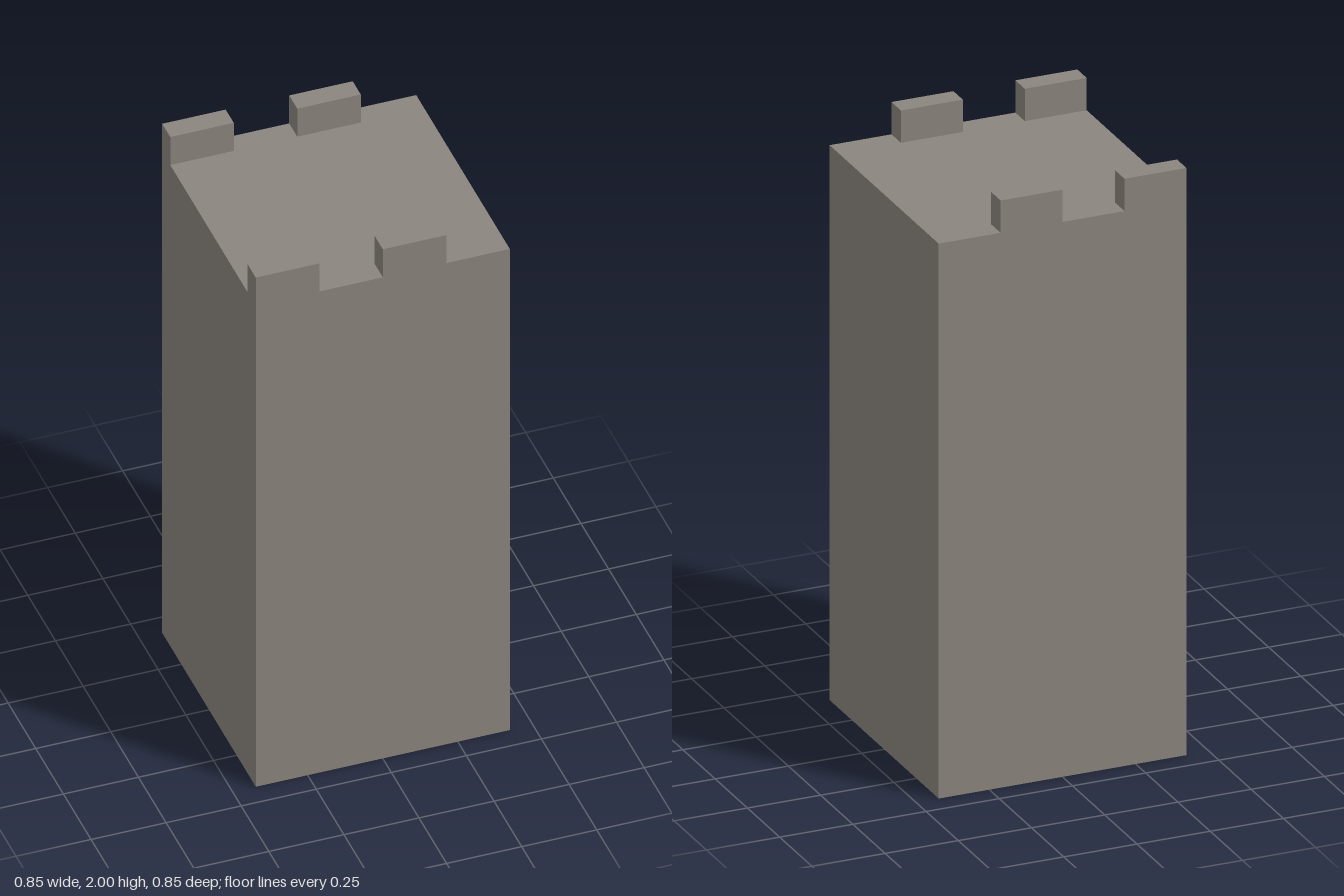
import * as THREE from 'three';

export function createModel() {
  const group = new THREE.Group();
  group.name = 'tower';
  const stone = new THREE.MeshStandardMaterial({ color: 0x8a857d });
  stone.name = 'stone';

  const half = 0.423, roofY = 1.89, topY = 2;
  const merlonWidth = half / 2, merlonDepth = 0.073;

  // Adds a box standing on the given height
  function addBox(name, w, h, d, x, bottom, z) {
    const mesh = new THREE.Mesh(new THREE.BoxGeometry(w, h, d), stone);
    mesh.name = name;
    mesh.position.set(x, bottom + h / 2, z);
    group.add(mesh);
  }

  // Tower shaft
  addBox('towerBody', half * 2, roofY, half * 2, 0, 0, 0);

  // Two merlons along the front and back edges, alternating with gaps
  for (const [side, sign] of [['front', 1], ['back', -1]]) {
    for (const [i, start] of [-half, 0].entries()) {
      addBox(`${side}Merlon${i + 1}`, merlonWidth, topY - roofY, merlonDepth,
        start + merlonWidth / 2, roofY, sign * (half - merlonDepth / 2));
    }
  }
  return group;
}
